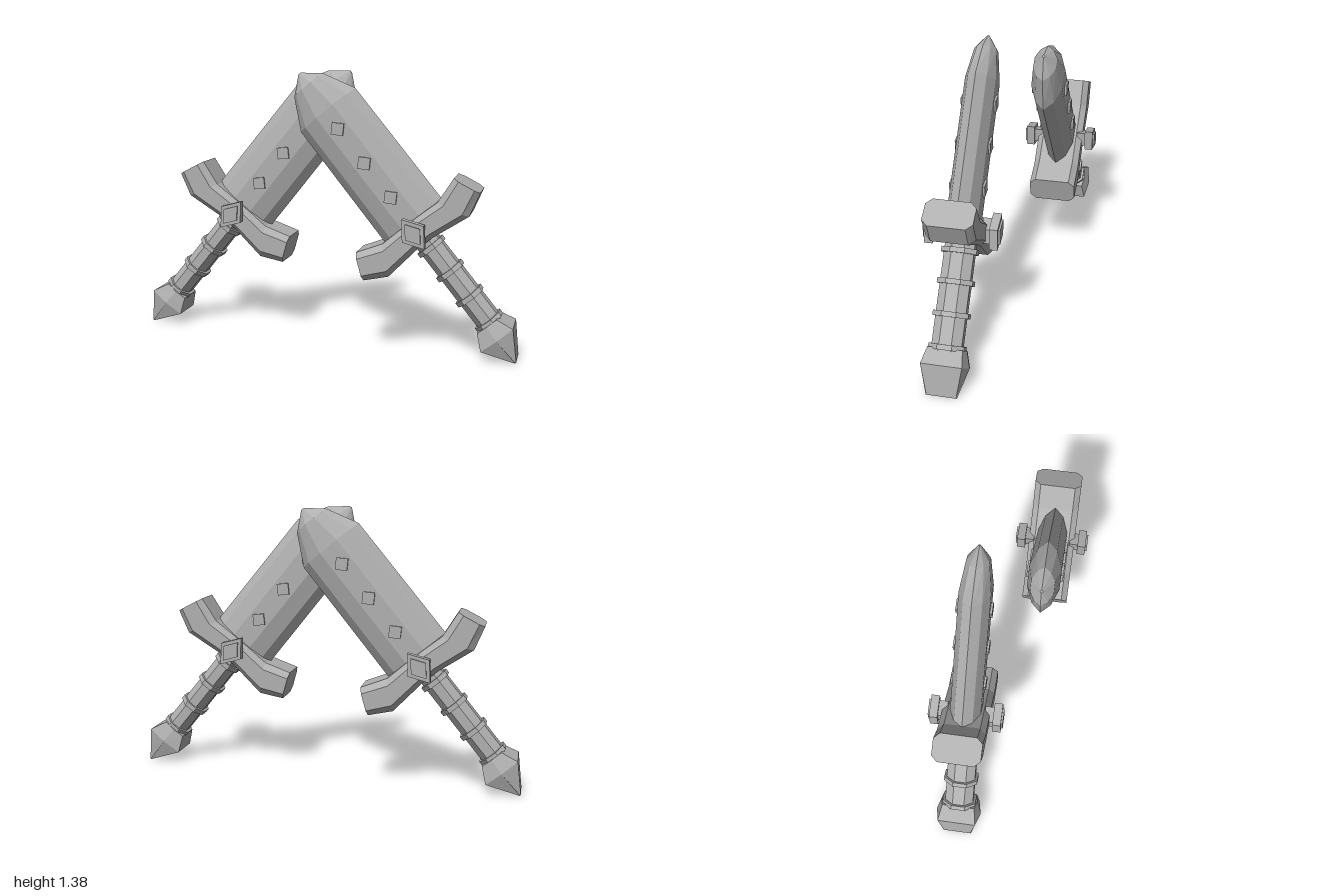
import * as THREE from 'three';

// Closed skin through rings of [x, y, z] points, with flat faces.
function loft(rings) {
  const pos = [];
  const n = rings[0].length;
  const tri = (...pts) => pts.forEach((p) => pos.push(...p));
  const centre = (r) => [0, 1, 2].map((k) => r.reduce((sum, p) => sum + p[k], 0) / n);
  const first = rings[0], last = rings[rings.length - 1];
  const c0 = centre(first), c1 = centre(last);
  for (let i = 0; i < n; i++) {
    const j = (i + 1) % n;
    for (let r = 0; r < rings.length - 1; r++) {
      const a = rings[r], b = rings[r + 1];
      tri(a[i], a[j], b[j]);
      tri(a[i], b[j], b[i]);
    }
    tri(c0, first[j], first[i]);
    tri(c1, last[i], last[j]);
  }
  const g = new THREE.BufferGeometry();
  g.setAttribute('position', new THREE.Float32BufferAttribute(pos, 3));
  g.computeVertexNormals();
  return g;
}

function flat(geometry) {
  const g = geometry.toNonIndexed();
  g.computeVertexNormals();
  return g;
}

// Eight-sided bar along y
function octagonBar(radius, height) {
  return flat(new THREE.CylinderGeometry(radius, radius, height, 8).rotateY(Math.PI / 8));
}

// Diamond plate facing z: half width, half height, thickness
function diamond(w, h, depth) {
  const shape = new THREE.Shape();
  shape.moveTo(w, 0).lineTo(0, h).lineTo(-w, 0).lineTo(0, -h).closePath();
  const g = new THREE.ExtrudeGeometry(shape, { depth, bevelEnabled: false });
  return g.translate(0, 0, -depth / 2);
}

function bladeGeometry() {
  const section = (y, h, t) => [
    [h, 0], [0.75 * h, -0.6 * t], [0.3 * h, -t], [-0.3 * h, -t], [-0.75 * h, -0.6 * t],
    [-h, 0], [-0.75 * h, 0.6 * t], [-0.3 * h, t], [0.3 * h, t], [0.75 * h, 0.6 * t],
  ].map(([x, z]) => [x, y, z]);
  return loft([
    section(0, 0.181, 0.077),
    section(0.73, 0.177, 0.077),
    section(0.885, 0.095, 0.055),
    section(0.958, 0.008, 0.006),
  ]);
}

function guardGeometry() {
  // Slanted sections: top x, top y, bottom x, bottom y
  const half = [[0.05, 0.05, 0.05, -0.075], [0.17, 0.047, 0.25, -0.098], [0.305, 0.092, 0.362, -0.04]];
  const section = ([tx, ty, bx, by], side) => [
    [1, 0.09], [0.6, 0.12], [-0.6, 0.12], [-1, 0.09],
    [-1, -0.09], [-0.6, -0.12], [0.6, -0.12], [1, -0.09],
  ].map(([f, z]) => {
    const k = (f + 1) / 2;
    return [side * (bx + (tx - bx) * k), by + (ty - by) * k, z];
  });
  return loft([
    ...[...half].reverse().map((s) => section(s, -1)),
    ...half.map((s) => section(s, 1)),
  ]);
}

function pommelGeometry() {
  const section = (y, w, z1, z2) => [
    [w, z1], [w, -z1], [0, -z2], [-w, -z1], [-w, z1], [0, z2],
  ].map(([x, z]) => [x - 0.013, y, z]);
  return loft([
    section(-0.8, 0.004, 0.072, 0.076),
    section(-0.655, 0.098, 0.1, 0.118),
    section(-0.575, 0.06, 0.085, 0.095),
  ]);
}

// One sword, pointing up y with the guard at the origin
function createSword(metal) {
  const sword = new THREE.Group();
  const add = (name, geometry, x = 0, y = 0, z = 0) => {
    const mesh = new THREE.Mesh(geometry, metal);
    mesh.name = name;
    mesh.position.set(x, y, z);
    sword.add(mesh);
    return mesh;
  };

  add('blade', bladeGeometry());
  add('guard', guardGeometry());
  add('pommel', pommelGeometry());

  // Grip with raised bands
  add('grip', octagonBar(0.075, 0.56), -0.005, -0.32).scale.set(0.85, 1, 1.06);
  for (const y of [-0.11, -0.26, -0.415, -0.57]) {
    add('gripBand', octagonBar(0.088, 0.025), -0.006, y).scale.set(0.88, 1, 1.07);
  }

  for (const side of [1, -1]) {
    // Studs along the blade
    for (const y of [0.202, 0.412, 0.622]) {
      add('bladeStud', diamond(0.042, 0.042, 0.03), 0, y, side * 0.073);
    }
    // Stepped ornament on the guard
    add('ornamentStem', diamond(0.045, 0.062, 0.06), 0, 0, side * 0.125);
    add('ornamentPlate', diamond(0.066, 0.09, 0.042), 0, 0, side * 0.16);
    add('ornamentCentre', diamond(0.045, 0.062, 0.02), 0, 0, side * 0.18);
  }
  return sword;
}

export function createModel() {
  const model = new THREE.Group();
  model.name = 'crossedSwords';
  const metal = new THREE.MeshStandardMaterial({ color: 0xb0b0b0 });
  metal.name = 'greyMetal';

  // Two leaning swords, each a half turn from the other
  for (const [name, turn] of [['frontSword', 0], ['backSword', Math.PI]]) {
    const sword = createSword(metal);
    sword.position.set(0.508, 0.637, 0.155);
    sword.rotation.z = 0.68;
    const holder = new THREE.Group();
    holder.name = name;
    holder.rotation.y = turn;
    holder.add(sword);
    model.add(holder);
  }
  return model;
}
